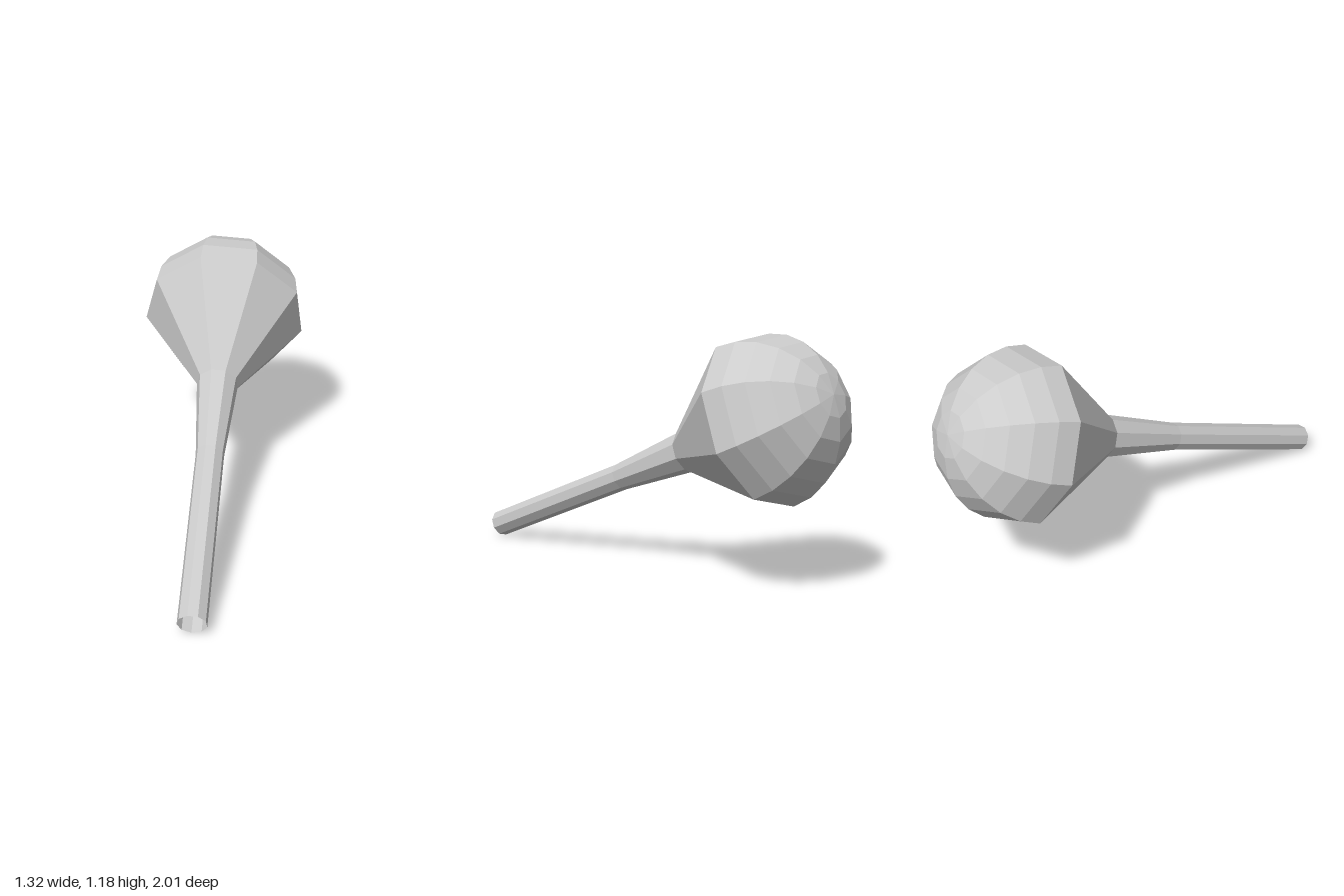
import * as THREE from 'three';

const SIDES = 9;
const HEAD_RADIUS = 0.419;
const HEAD_CENTRE = 1.907; // distance of the head centre from the open handle end

export function createModel() {
  const group = new THREE.Group();
  const material = new THREE.MeshStandardMaterial({
    color: 0xcccccc, flatShading: true, side: THREE.DoubleSide,
  });

  // Turned part from [radius, distance along the axis] pairs
  const addTurned = (name, profile) => {
    const points = profile.map(([r, d]) => new THREE.Vector2(r, d));
    const mesh = new THREE.Mesh(new THREE.LatheGeometry(points, SIDES), material);
    mesh.name = name;
    group.add(mesh);
  };

  // Hollow handle, open at its lower end and flaring towards the head
  addTurned('handle', [[0.069, 0], [0.07, 0.962], [0.105, 1.42]]);

  // Conical shoulder widening to the rim of the dome
  addTurned('shoulder', [[0.105, 1.42], [HEAD_RADIUS, HEAD_CENTRE]]);

  // Faceted half-sphere dome, six bands from rim to pole
  const dome = [];
  for (let i = 0; i <= 6; i++) {
    const a = (i / 6) * Math.PI / 2;
    dome.push([i === 6 ? 0 : HEAD_RADIUS * Math.cos(a), HEAD_CENTRE + HEAD_RADIUS * Math.sin(a)]);
  }
  addTurned('dome', dome);

  // Tilt the axis up and back, with one facet edge pointing along `edge`
  const axis = new THREE.Vector3(0.441, 0.376, -0.815).normalize();
  const edge = new THREE.Vector3(0.716, 0.389, 0.578);
  edge.addScaledVector(axis, -edge.dot(axis)).normalize();
  const across = new THREE.Vector3().crossVectors(axis, edge);
  group.quaternion.setFromRotationMatrix(new THREE.Matrix4().makeBasis(across, axis, edge));
  group.position.set(-0.6, 0.067, 0.963);
  group.name = 'roundHeadedMallet';
  return group;
}
